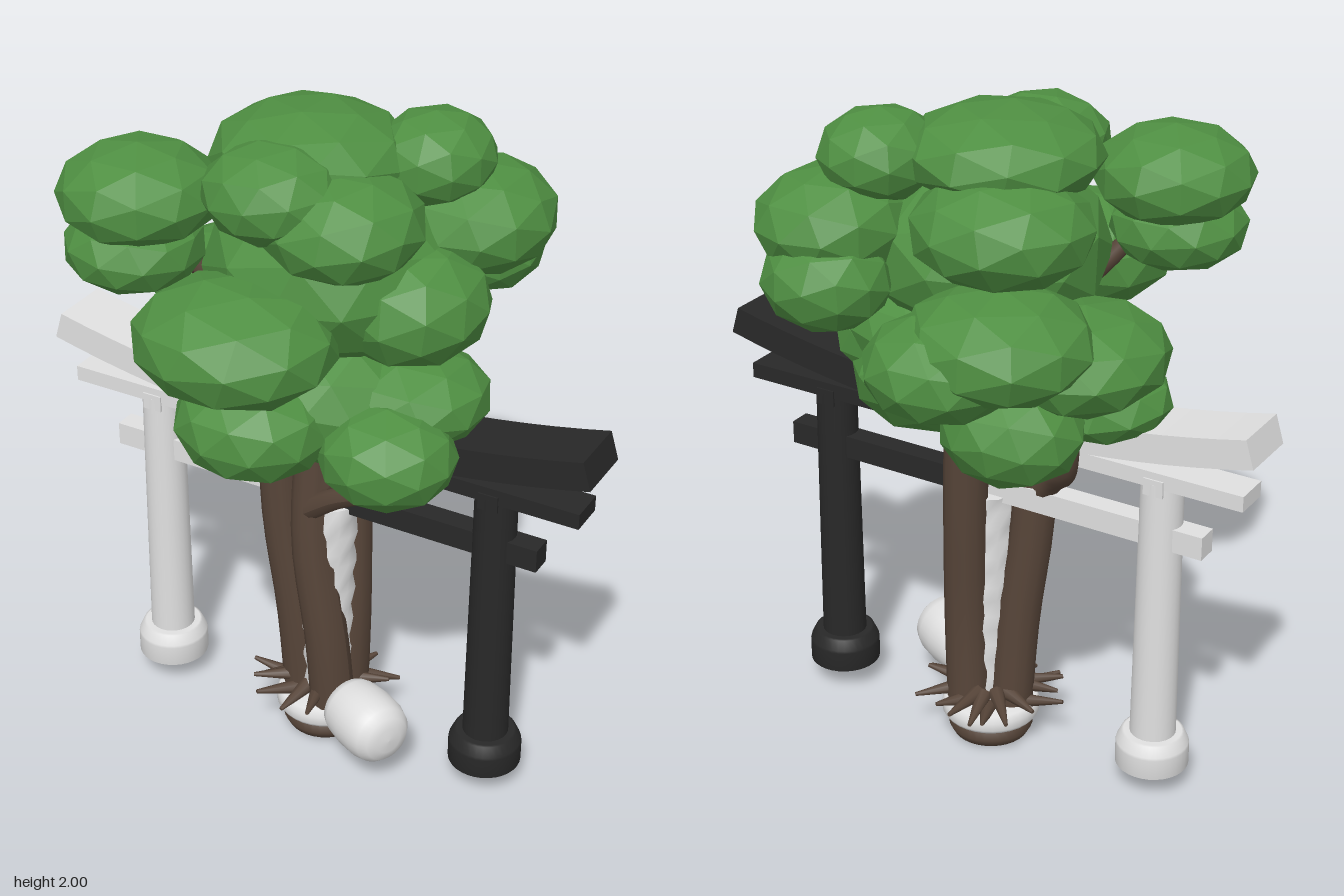
import * as THREE from 'three';

export function createModel() {
  const model = new THREE.Group();
  const mat = (name, color) => {
    const m = new THREE.MeshStandardMaterial({ color });
    m.name = name;
    return m;
  };
  const green = mat('leaf green', 0x4f8f42);
  const brown = mat('bark brown', 0x574539);
  const light = mat('pale stone', 0xe0e0e0);
  const dark = mat('black stone', 0x282828);

  const add = (name, geometry, material, x = 0, y = 0, z = 0, parent = model) => {
    const mesh = new THREE.Mesh(geometry, material);
    mesh.name = name;
    mesh.position.set(x, y, z);
    parent.add(mesh);
    return mesh;
  };
  const lathe = pts =>
    new THREE.LatheGeometry(pts.map(([r, y]) => new THREE.Vector2(r, y)), 32);

  // Tube along points, narrowing from r0 to r1
  const taperedTube = (pts, r0, r1) => {
    const curve = new THREE.CatmullRomCurve3(pts.map(p => new THREE.Vector3(...p)));
    const seg = 14, sides = 12;
    const g = new THREE.TubeGeometry(curve, seg, 1, sides);
    const pos = g.attributes.position, v = new THREE.Vector3();
    for (let i = 0; i < pos.count; i++) {
      const t = Math.floor(i / (sides + 1)) / seg;
      const c = curve.getPointAt(t);
      v.fromBufferAttribute(pos, i).sub(c).multiplyScalar(r0 + (r1 - r0) * t).add(c);
      pos.setXYZ(i, v.x, v.y, v.z);
    }
    g.computeVertexNormals();
    return g;
  };

  // Gate: pale half at -x, black half at +x
  for (const s of [-1, 1]) {
    const half = new THREE.Group();
    half.name = s < 0 ? 'paleGateHalf' : 'blackGateHalf';
    half.position.z = 0.01;
    model.add(half);
    const m = s < 0 ? light : dark;
    const px = s * 0.547;
    add('pillar', new THREE.CylinderGeometry(0.061, 0.068, 0.87, 24), m, px, 0.575, 0, half);
    add('pillarFoot', lathe([[0, 0.07], [0.098, 0.07], [0.108, 0.076], [0.108, 0.14],
      [0.106, 0.148], [0.092, 0.178], [0.085, 0.18], [0, 0.18]]), m, px, 0, 0, half);
    add('pillarBlock', new THREE.BoxGeometry(0.06, 0.05, 0.12), m, px, 1.0, 0, half);
    add('lowerBeam', new THREE.BoxGeometry(0.69, 0.07, 0.066), m, s * 0.345, 0.838, 0, half);
    add('upperBeam', new THREE.BoxGeometry(0.815, 0.047, 0.11), m, s * 0.4075, 1.023, 0, half);

    // Upswept top beam
    const shape = new THREE.Shape();
    const n = 10;
    shape.moveTo(0, 1.05);
    for (let i = 1; i <= n; i++) {
      const x = 0.855 * i / n;
      shape.lineTo(s * x, 1.05 + 0.142 * x * x);
    }
    for (let i = n; i >= 0; i--) {
      const x = 0.83 * i / n;
      shape.lineTo(s * x, 1.138 + 0.142 * x * x);
    }
    add('curvedTopBeam', new THREE.ExtrudeGeometry(shape, { depth: 0.186, bevelEnabled: false }),
      m, 0, 0, -0.093, half);
  }

  // Round foot of the tree with a pale ring
  add('treeFoot', lathe([[0, 0], [0.115, 0.005], [0.128, 0.03], [0.122, 0.07], [0, 0.13]]), brown);
  add('paleRing', lathe([[0.11, 0.065], [0.14, 0.068], [0.148, 0.08], [0.148, 0.105],
    [0.138, 0.125], [0.06, 0.128]]), light);

  // Root spikes
  for (let i = 0; i < 18; i++) {
    const len = 0.14 + 0.02 * Math.sin(i * 3.7);
    const g = new THREE.CylinderGeometry(0.006, 0.025, len, 8);
    g.rotateZ(-Math.PI / 2 + 0.22 * Math.sin(i * 2.3));
    g.translate(0.075 + len / 2, 0, 0);
    g.rotateY(i * Math.PI / 9 + 0.15 * Math.sin(i * 5.1));
    add('rootSpike', g, brown, -0.005, 0.155 + 0.018 * Math.sin(i * 1.9), -0.005);
  }

  // Three leaning trunks
  add('leftTrunk', taperedTube([[-0.065, 0.1, 0.01], [-0.08, 0.4, 0.025],
    [-0.118, 0.75, 0.04], [-0.122, 1.1, 0.04], [-0.1, 1.4, 0.02]], 0.064, 0.064), brown);
  add('frontTrunk', taperedTube([[0.055, 0.1, 0.05], [0.042, 0.35, 0.065],
    [-0.002, 0.7, 0.073], [-0.002, 1.05, 0.05], [0.02, 1.4, 0.05]], 0.068, 0.055), brown);
  add('backTrunk', taperedTube([[0.05, 0.1, -0.045], [0.058, 0.4, -0.045],
    [0.045, 0.75, -0.068], [0.03, 1.1, -0.085], [0.02, 1.4, -0.1]], 0.066, 0.064), brown);

  // Pale ragged core between the trunks
  const core = new THREE.CylinderGeometry(0.085, 0.07, 0.7, 14, 14);
  const cp = core.attributes.position;
  for (let i = 0; i < cp.count; i++) {
    const k = 1 + 0.08 * Math.sin(cp.getY(i) * 60 + Math.atan2(cp.getZ(i), cp.getX(i)) * 3);
    cp.setX(i, cp.getX(i) * k);
    cp.setZ(i, cp.getZ(i) * k);
  }
  core.computeVertexNormals();
  add('paleCore', core, light, 0.02, 0.47, 0.018);

  // Branches
  [
    [[-0.13, 0.82, 0.03], [-0.22, 0.92, -0.02], [-0.32, 1.02, -0.12], [-0.36, 1.2, -0.16]],
    [[0.0, 0.82, 0.09], [0.1, 0.9, 0.12], [0.25, 1.0, 0.15], [0.3, 1.15, 0.16]],
    [[0.03, 0.86, 0.07], [0.11, 0.97, 0.09], [0.2, 1.04, 0.08], [0.28, 1.2, 0.03]],
    [[0.03, 0.94, -0.08], [-0.01, 1.06, -0.19], [-0.07, 1.22, -0.31], [-0.12, 1.42, -0.37]],
    [[-0.1, 1.3, 0.05], [-0.2, 1.45, 0.12], [-0.32, 1.6, 0.2], [-0.4, 1.75, 0.25]],
  ].forEach(p => add('branch', taperedTube(p, 0.036, 0.02), brown));

  // Faceted leaf clusters: centre, then radii
  [
    [-0.42, 1.79, 0.26, 0.22, 0.135, 0.22], [-0.43, 1.64, 0.28, 0.19, 0.12, 0.19],
    [-0.06, 1.87, -0.03, 0.27, 0.13, 0.27], [0.23, 1.86, -0.19, 0.165, 0.125, 0.175],
    [-0.05, 1.84, 0.19, 0.19, 0.13, 0.18], [0.12, 1.76, 0.12, 0.22, 0.145, 0.22],
    [0.33, 1.68, -0.27, 0.21, 0.15, 0.23], [0.29, 1.55, -0.37, 0.18, 0.14, 0.17],
    [-0.07, 1.48, 0.36, 0.28, 0.16, 0.25], [-0.36, 1.38, -0.12, 0.23, 0.14, 0.26],
    [-0.35, 1.22, -0.02, 0.21, 0.11, 0.2], [-0.05, 1.21, 0.31, 0.22, 0.15, 0.2],
    [0.31, 1.16, 0.21, 0.19, 0.14, 0.18], [0.28, 1.25, 0.02, 0.22, 0.13, 0.21],
    [0.17, 1.18, -0.05, 0.22, 0.16, 0.22], [-0.22, 1.46, -0.32, 0.26, 0.15, 0.25],
    [-0.1, 1.4, -0.41, 0.21, 0.14, 0.21], [-0.25, 1.21, -0.3, 0.2, 0.15, 0.18],
    [0.12, 1.37, -0.12, 0.23, 0.14, 0.22], [0.26, 1.52, 0.0, 0.22, 0.17, 0.22],
    [-0.15, 1.72, -0.19, 0.25, 0.15, 0.24], [0.01, 1.58, 0.0, 0.34, 0.26, 0.33],
    [0.04, 1.24, 0.1, 0.27, 0.19, 0.24],
  ].forEach(([x, y, z, rx, ry, rz], i) => {
    const g = new THREE.IcosahedronGeometry(1.03, 1);
    g.rotateY(i * 1.3);
    g.rotateX(0.5 * Math.sin(i * 2.1));
    g.scale(rx, ry, rz);
    g.computeVertexNormals();
    add('leafCluster', g, green, x, y, z);
  });

  // Rounded pale drum lying beside the trunk
  const drum = add('paleDrum', lathe([[0, -0.115], [0.07, -0.115], [0.088, -0.105], [0.096, -0.08],
    [0.102, -0.02], [0.1, 0.04], [0.09, 0.075], [0.07, 0.098], [0.04, 0.108], [0, 0.111]]),
  light, 0.235, 0.178, 0.158);
  drum.quaternion.setFromUnitVectors(new THREE.Vector3(0, 1, 0),
    new THREE.Vector3(0.88, 0.03, 0.47).normalize());

  return model;
}
